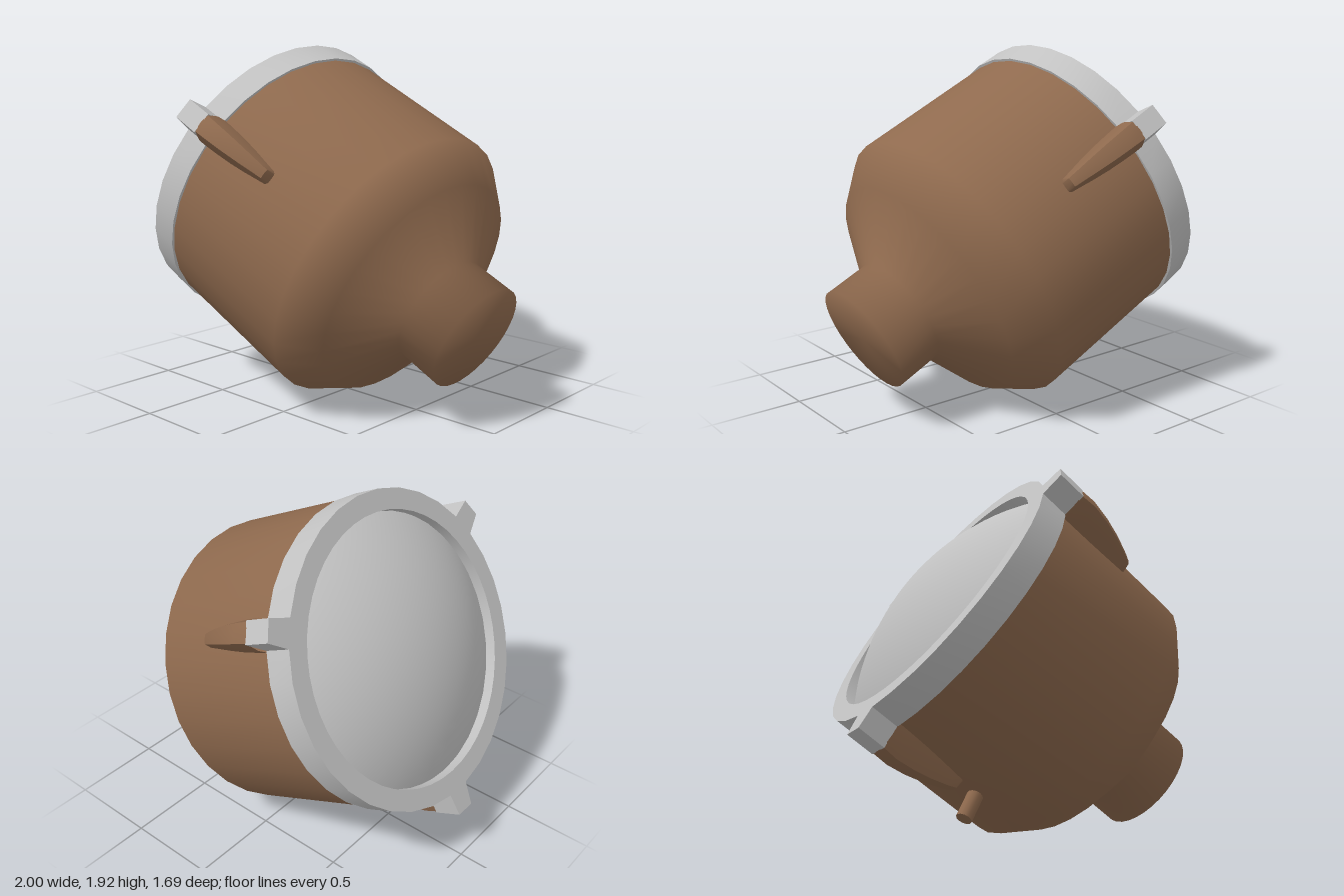
import * as THREE from 'three';
import { toCreasedNormals } from 'three/addons/utils/BufferGeometryUtils.js';

const TAB_ANGLES = [Math.PI / 3, Math.PI, -Math.PI / 3];

// Clamp ring outline with three flared tabs and a round hole
function ringGeometry(back, front) {
  const outer = 0.82, tip = 0.945, half = 0.088, steps = 10;
  const pts = [];
  const polar = (r, a) => new THREE.Vector2(r * Math.cos(a), r * Math.sin(a));
  for (let k = 0; k < 3; k++) {
    const c = Math.PI / 3 + k * Math.PI * 2 / 3;
    pts.push(polar(tip, c - 0.06), polar(tip, c + 0.06));
    const span = Math.PI * 2 / 3 - 2 * half;
    for (let i = 0; i <= steps; i++) pts.push(polar(outer, c + half + span * i / steps));
  }
  const shape = new THREE.Shape(pts);
  shape.holes.push(new THREE.Path().absarc(0, 0, 0.71, 0, Math.PI * 2, true));
  const g = new THREE.ExtrudeGeometry(shape, { depth: front - back, bevelEnabled: false, curveSegments: 24 });
  g.rotateX(-Math.PI / 2).translate(0, back, 0);
  return toCreasedNormals(g, 0.5);
}

// Tapered lug lofted along the housing wall, pointing out along +x
function lugGeometry() {
  const stations = [ // along axis, outer radius, half width
    [0.89, 0.94, 0.085], [0.8, 0.945, 0.08], [0.7, 0.93, 0.073],
    [0.6, 0.905, 0.062], [0.5, 0.87, 0.048], [0.455, 0.85, 0.042], [0.435, 0.78, 0.036],
  ];
  const section = [[-1, 0], [-0.9, 0.65], [-0.6, 1], [0, 1.03], [0.6, 1], [0.9, 0.65], [1, 0]];
  const base = 0.74, n = section.length, pos = [], index = [];
  stations.forEach(([u, r, w], i) => {
    for (const [t, f] of section) pos.push(base + f * (r - base), u, t * w);
    if (i === 0) return;
    for (let j = 0; j < n - 1; j++) {
      const a = (i - 1) * n + j, b = a + n;
      index.push(a, a + 1, b, a + 1, b + 1, b);
    }
  });
  // closed tip
  const last = (stations.length - 1) * n;
  for (let j = 1; j < n - 1; j++) index.push(last, last + j, last + j + 1);
  const g = new THREE.BufferGeometry();
  g.setAttribute('position', new THREE.Float32BufferAttribute(pos, 3));
  g.setIndex(index);
  return toCreasedNormals(g, 0.75);
}

export function createModel() {
  const brown = new THREE.MeshStandardMaterial({ color: 0x8f6a4e });
  brown.name = 'brown housing';
  const grey = new THREE.MeshStandardMaterial({ color: 0xc2c2c2 });
  grey.name = 'light grey';

  const model = new THREE.Group();
  model.name = 'lamp';

  // Everything is built around a local y axis, then tilted
  const lamp = new THREE.Group();
  lamp.name = 'tiltedLamp';
  lamp.rotation.z = THREE.MathUtils.degToRad(64);
  lamp.position.set(0.355, 0.724, 0);
  model.add(lamp);

  const add = (name, geometry, material) => {
    const mesh = new THREE.Mesh(geometry, material);
    mesh.name = name;
    lamp.add(mesh);
    return mesh;
  };

  // Smooth housing with its rear neck
  const profile = [[0, -0.577], [0.3, -0.577], [0.3, -0.335], [0.645, -0.152], [0.8, 0.04], [0.807, 0.9]]
    .map(([r, u]) => new THREE.Vector2(r, u));
  add('housing', new THREE.LatheGeometry(profile, 32), brown);

  // Ring and domed lens
  add('clampRing', ringGeometry(0.886, 1.043), grey);
  const R = 1.33;
  const dome = new THREE.SphereGeometry(R, 32, 10, 0, Math.PI * 2, 0, Math.asin(0.715 / R));
  add('lens', dome.translate(0, 1.19 - R, 0), grey);

  // Lug behind each tab
  const lug = lugGeometry();
  TAB_ANGLES.forEach((a) => { add('lug', lug, brown).rotation.y = a; });

  // Short peg under the housing
  const peg = new THREE.CylinderGeometry(0.042, 0.042, 0.2, 12);
  add('peg', peg.rotateZ(Math.PI / 2).translate(-0.847, 0.335, 0), brown);

  return model;
}
